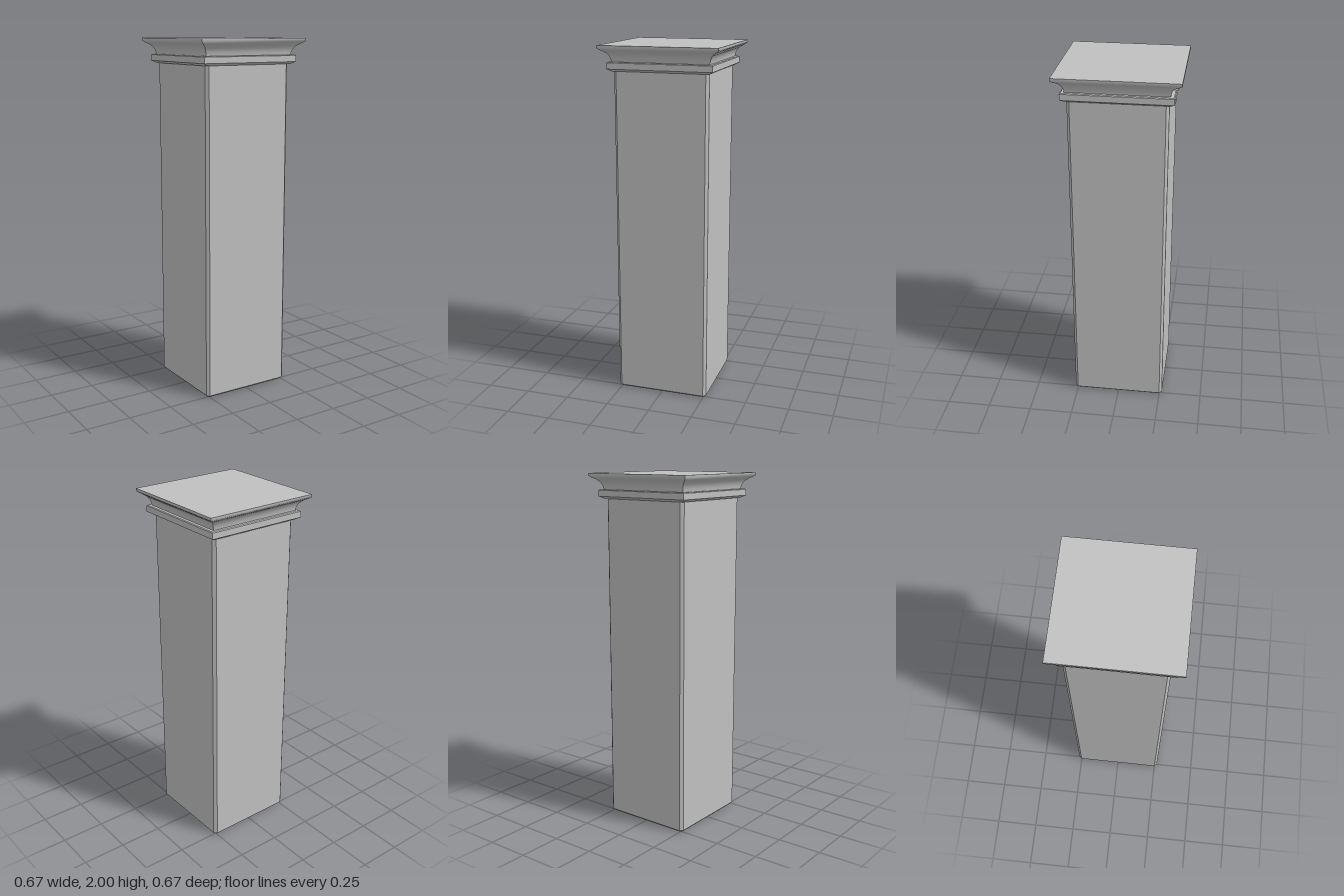
import * as THREE from 'three';
import { mergeGeometries } from 'three/addons/utils/BufferGeometryUtils.js';

// Runs a [halfWidth, y] profile (bottom to top) around a square with mitred corners.
function squareMoulding(profile, smooth) {
  const pos = [], idx = [];
  profile.forEach(([r, y], i) => {
    pos.push(-r, y, r, r, y, r);
    if (i === 0) return;
    const a = 2 * i - 2;
    idx.push(a, a + 1, a + 3, a, a + 3, a + 2);
  });
  let side = new THREE.BufferGeometry();
  side.setAttribute('position', new THREE.Float32BufferAttribute(pos, 3));
  side.setIndex(idx);
  if (!smooth) side = side.toNonIndexed();
  side.computeVertexNormals();
  return mergeGeometries([0, 1, 2, 3].map(k => side.clone().rotateY(k * Math.PI / 2)));
}

// Square post with a narrow chamfer on every edge.
function chamferedPost(half, height, c) {
  const s = half - c, shape = new THREE.Shape();
  shape.moveTo(-s, -s);
  shape.lineTo(s, -s);
  shape.lineTo(s, s);
  shape.lineTo(-s, s);
  shape.closePath();
  // Cut the corners by extruding an octagon
  const k = c, oct = new THREE.Shape([
    [-s, -half], [s, -half], [half, -s], [half, s],
    [s, half], [-s, half], [-half, s], [-half, -s],
  ].map(([x, y]) => new THREE.Vector2(x * (half - k) / half, y * (half - k) / half)));
  const geo = new THREE.ExtrudeGeometry(oct, {
    depth: height - 2 * c, bevelEnabled: true, bevelThickness: c, bevelSize: c, bevelSegments: 1,
  });
  return geo.translate(0, 0, c).rotateX(-Math.PI / 2);
}

export function createModel() {
  const group = new THREE.Group();
  group.name = 'squareColumn';
  const stone = new THREE.MeshStandardMaterial({ color: 0xc0c0c0 });
  stone.name = 'greyStone';

  const add = (name, geometry) => {
    const mesh = new THREE.Mesh(geometry, stone);
    mesh.name = name;
    group.add(mesh);
    return mesh;
  };

  add('shaft', chamferedPost(0.266, 1.87, 0.01));

  // Flat band with a sloped underside
  add('neckBand', squareMoulding([
    [0.26, 1.86], [0.272, 1.86], [0.295, 1.873], [0.295, 1.906], [0.29, 1.91], [0.26, 1.91],
  ], false));

  // Flared cove ending in a thin vertical lip
  add('crownMoulding', squareMoulding([
    [0.273, 1.908], [0.275, 1.922], [0.279, 1.935], [0.285, 1.947], [0.294, 1.958],
    [0.306, 1.967], [0.32, 1.975], [0.333, 1.985], [0.333, 2],
  ], true));

  const top = add('topSlab', new THREE.PlaneGeometry(0.666, 0.666).rotateX(-Math.PI / 2));
  top.position.y = 2;

  return group;
}
